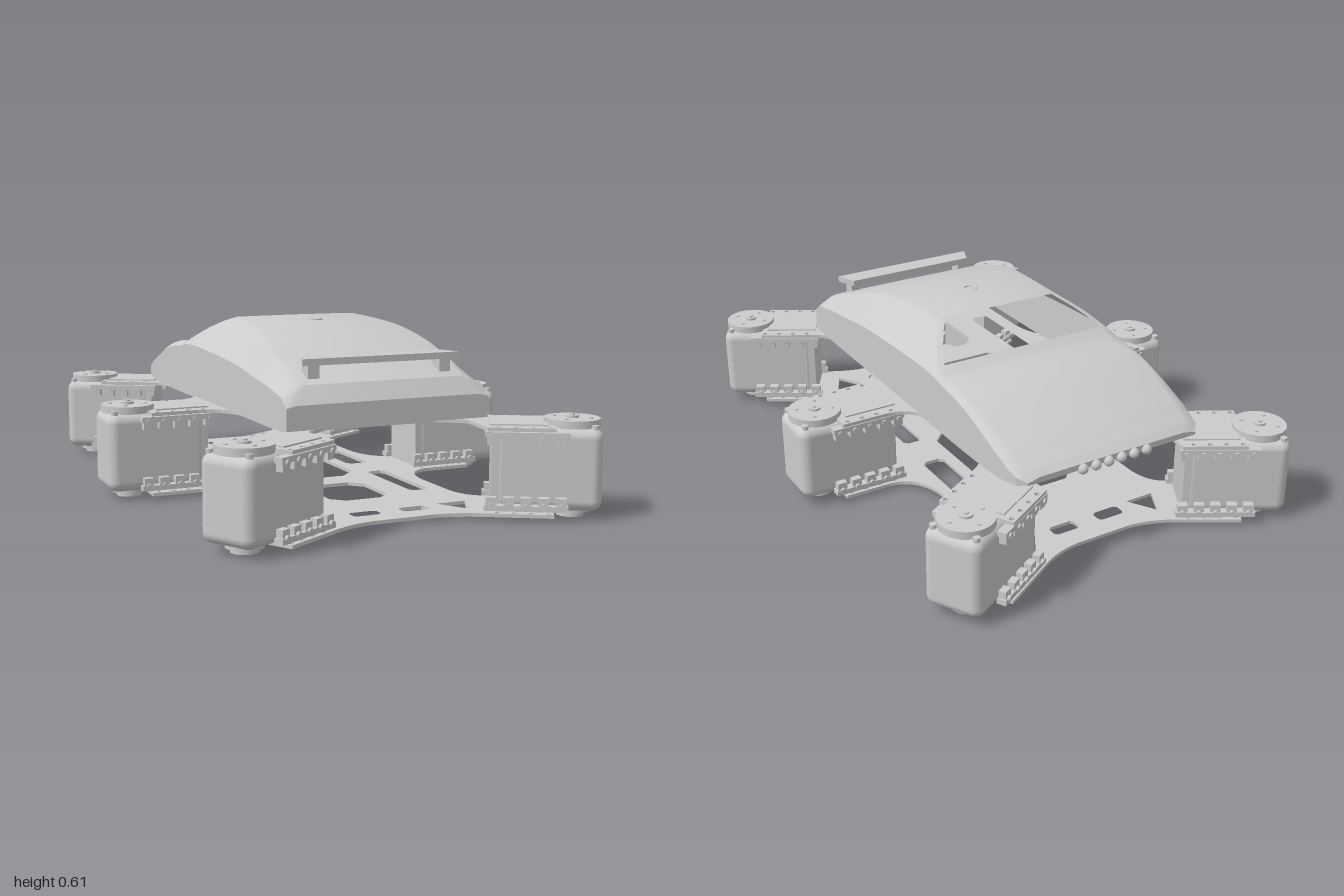
import * as THREE from 'three';
import { toCreasedNormals } from 'three/addons/utils/BufferGeometryUtils.js';
import { RoundedBoxGeometry } from 'three/addons/geometries/RoundedBoxGeometry.js';

const grey = new THREE.MeshStandardMaterial({ color: 0xcccccc });
const thin = new THREE.MeshStandardMaterial({ color: 0xcccccc, side: THREE.DoubleSide });
const V = (x, y) => new THREE.Vector2(x, y);

function add(parent, name, geo, x = 0, y = 0, z = 0, mat = grey) {
  const m = new THREE.Mesh(geo, mat);
  m.name = name;
  m.position.set(x, y, z);
  parent.add(m);
  return m;
}
const box = (w, h, d) => new THREE.BoxGeometry(w, h, d);
const disc = (r, h, n = 32) => new THREE.CylinderGeometry(r, r, h, n);

// Flat outline in x/z, extruded downwards from its position
function slab(points, holes, t) {
  const s = new THREE.Shape(points);
  s.holes = holes.map(h => new THREE.Path(h));
  return new THREE.ExtrudeGeometry(s, { depth: t, bevelEnabled: false }).rotateX(Math.PI / 2);
}

// Six leg mounts: pivot position and outward angle in the x/z plane
const legs = [0, 30, 150, 180, 210, 330].map(deg => {
  const a = deg * Math.PI / 180, c = Math.cos(a), s = Math.sin(a);
  const corner = deg % 180 !== 0;
  const x = Math.sign(c) * (corner ? 0.575 : 0.68), z = corner ? Math.sign(s) * 0.872 : 0;
  return { x, z, a, at: (u, v) => V(x + u * c - v * s, z + u * s + v * c) };
});

// Chassis plates: one quarter outline mirrored in x and z
function plateOutline(top) {
  const p = new THREE.Path();
  if (top) {
    p.moveTo(0, 0.62); p.lineTo(0.2, 0.62); p.lineTo(0.29, 0.69); p.lineTo(0.27, 0.845);
  } else {
    p.moveTo(0, 0.79); p.lineTo(0.1, 0.79); p.quadraticCurveTo(0.19, 0.795, 0.27, 0.845);
  }
  p.lineTo(0.458, 0.955);
  p.lineTo(0.588, 0.729);
  p.lineTo(0.398, 0.619);
  p.quadraticCurveTo(0.34, 0.585, 0.335, 0.5);
  p.lineTo(0.335, 0.3);
  p.quadraticCurveTo(0.345, 0.14, 0.46, 0.13);
  p.lineTo(0.63, 0.13);
  const q = p.getPoints(8);
  const half = [...q, ...[...q].reverse().map(v => V(v.x, -v.y))];
  return [...half, ...half.slice(1, -1).reverse().map(v => V(-v.x, v.y))];
}
const rect = (x0, x1, z0, z1) => {
  const c = Math.min(x1 - x0, z1 - z0) * 0.2;
  return [V(x0 + c, z0), V(x1 - c, z0), V(x1, z0 + c), V(x1, z1 - c),
    V(x1 - c, z1), V(x0 + c, z1), V(x0, z1 - c), V(x0, z0 + c)];
};
function plateHoles(top) {
  const h = [rect(-0.165, 0.165, -0.42, 0.13), rect(-0.11, 0.11, 0.24, 0.5)];
  for (const s of [-1, 1]) {
    const flip = pts => pts.map(v => V(v.x * s, v.y));
    h.push(flip(rect(0.21, 0.295, -0.33, -0.06)), flip(rect(0.21, 0.28, 0.1, 0.45)));
    if (!top) for (const k of [-1, 1]) {
      h.push([V(0.19 * s, 0.66 * k), V(0.3 * s, 0.66 * k), V(0.25 * s, 0.76 * k)]);
      h.push(flip(rect(0.04, 0.14, k * 0.69 - 0.025, k * 0.69 + 0.025)));
    }
  }
  for (const leg of legs) {
    // bolt holes along both edges of each arm
    for (const v of [-0.115, 0.115]) for (let i = 0; i < 4; i++)
      h.push(Array.from({ length: 8 }, (_, k) => leg.at(
        -0.24 + i * 0.055 + 0.009 * Math.cos(k * Math.PI / 4), v + 0.009 * Math.sin(k * Math.PI / 4))));
    // windows beneath each actuator
    if (!top) for (const v of [-0.045, 0.045])
      h.push(rect(-0.21, -0.13, v - 0.027, v + 0.027).map(p => leg.at(p.x, p.y)));
  }
  return h;
}

// Leg actuator, pointing along local +x from its pivot
function actuator(leg) {
  const g = new THREE.Group();
  g.name = 'legActuator';
  g.position.set(leg.x, 0, leg.z);
  g.rotation.y = -leg.a;
  add(g, 'actuatorBody', new RoundedBoxGeometry(0.355, 0.274, 0.2, 4, 0.035), -0.0825, 0.165, 0);
  add(g, 'actuatorInnerEnd', box(0.1, 0.27, 0.196), -0.212, 0.165, 0);
  add(g, 'topCover', box(0.19, 0.012, 0.17), -0.175, 0.306, 0);
  add(g, 'bottomCover', box(0.04, 0.012, 0.17), -0.25, 0.012, 0);
  // rotating horn with hub and screws
  add(g, 'horn', disc(0.092, 0.026), 0, 0.312, 0);
  add(g, 'hornHub', disc(0.022, 0.012, 20), 0, 0.327, 0);
  add(g, 'hornScrew', disc(0.009, 0.008, 10), 0, 0.334, 0);
  for (let i = 0; i < 4; i++) {
    const a = i * Math.PI / 2 + 0.4;
    add(g, 'hornBolt', disc(0.007, 0.006, 10), 0.062 * Math.cos(a), 0.326, 0.062 * Math.sin(a));
  }
  // bottom pivot
  add(g, 'pivotBase', disc(0.06, 0.02), 0, 0.024, 0);
  add(g, 'pivotCap', disc(0.045, 0.024), 0, 0.012, 0);
  for (const s of [-1, 1]) {
    add(g, 'caseScrew', disc(0.012, 0.014, 12), 0.068, 0.304, s * 0.074);
    // toothed clamps, upper and lower, on both sides
    for (const [y, k] of [[0.283, -1], [0.042, 1]]) {
      add(g, 'clampStrip', box(0.27, 0.018, 0.032), -0.15, y, s * 0.113);
      for (let i = 0; i < 5; i++) {
        add(g, 'clampTooth', box(0.034, 0.03, 0.026), -0.262 + i * 0.056, y + k * 0.02, s * 0.112);
        add(g, 'clampNut', disc(0.01, 0.012, 6).rotateX(Math.PI / 2), -0.262 + i * 0.056, y + k * 0.008, s * 0.129);
      }
    }
  }
  return g;
}

// Body shell stations: z, bottom y, half width, crease y, shoulder half width, roof y
const stations = [
  [0.69, 0.312, 0.365, 0.385, 0.355, 0.392], [0.65, 0.305, 0.367, 0.415, 0.315, 0.45],
  [0.55, 0.305, 0.367, 0.435, 0.31, 0.492], [0.4, 0.305, 0.367, 0.455, 0.3, 0.547],
  [0.25, 0.305, 0.367, 0.475, 0.275, 0.588], [0.08, 0.303, 0.367, 0.487, 0.255, 0.606],
  [-0.11, 0.302, 0.367, 0.495, 0.25, 0.607], [-0.2, 0.302, 0.367, 0.497, 0.3, 0.57],
  [-0.29, 0.302, 0.367, 0.495, 0.345, 0.522], [-0.35, 0.302, 0.367, 0.483, 0.348, 0.497],
  [-0.47, 0.303, 0.367, 0.468, 0.35, 0.49], [-0.6, 0.306, 0.367, 0.43, 0.35, 0.452],
  [-0.72, 0.313, 0.365, 0.385, 0.345, 0.405], [-0.8, 0.323, 0.355, 0.352, 0.335, 0.368],
  [-0.83, 0.33, 0.33, 0.34, 0.31, 0.35]];

function shellGeometry() {
  const n = stations.length, rows = [], steps = 3, pos = [];
  for (let j = 0; j < n; j++) for (let k = 0; k < (j < n - 1 ? steps : 1); k++) {
    const st = i => stations[Math.min(Math.max(i, 0), n - 1)], t = k / steps;
    // the nose edges stay straight, the rest follows a smooth curve
    const [z, yb, w, yc, ws, yt] = st(j).map((p, c) => {
      const a = st(j - 1)[c], q = st(j + 1)[c], b = st(j + 2)[c];
      if (j === 0 || j === n - 2 || c === 0) return p + (q - p) * t;
      const m0 = j === 1 ? q - p : (q - a) / 2, m1 = (b - p) / 2;
      return p + t * (m0 + t * (3 * (q - p) - 2 * m0 - m1 + t * (2 * (p - q) + m0 + m1)));
    });
    const side = [[w, yb], [w, yc], [ws, yt - 0.006], [ws - 0.025, yt]];
    const pts = [...side, [0, yt + 0.001], ...[...side].reverse().map(([x, y]) => [-x, y])];
    rows.push(pts.map(([x, y]) => [x, y, z]));
  }
  const tri = (...v) => v.forEach(p => pos.push(...p));
  for (let j = 0; j < rows.length - 1; j++) for (let i = 0; i < 8; i++) {
    // leave the rear window open
    if (j >= 6 * steps && j < 8 * steps && (i === 3 || i === 4)) continue;
    const a = rows[j][i], b = rows[j][i + 1], c = rows[j + 1][i], d = rows[j + 1][i + 1];
    tri(a, c, b);
    tri(b, c, d);
  }
  const f = rows[0], r = rows[rows.length - 1];
  for (let i = 1; i < 8; i++) {
    tri(f[0], f[i], f[i + 1]);
    tri(r[0], r[i + 1], r[i]);
  }
  const geo = new THREE.BufferGeometry();
  geo.setAttribute('position', new THREE.Float32BufferAttribute(pos, 3));
  return toCreasedNormals(geo, 0.5);
}

export function createModel() {
  const model = new THREE.Group();
  model.name = 'hexapodBody';
  add(model, 'bottomPlate', slab(plateOutline(false), plateHoles(false), 0.012), 0, 0.025, 0);
  add(model, 'topPlate', slab(plateOutline(true), plateHoles(true), 0.012), 0, 0.307, 0);
  for (const leg of legs) model.add(actuator(leg));
  add(model, 'bodyShell', shellGeometry(), 0, 0, 0, thin);
  // roof port
  add(model, 'roofPort', new THREE.TorusGeometry(0.024, 0.005, 8, 28).rotateX(Math.PI / 2), 0, 0.606, 0.09);
  // raised bar across the nose
  add(model, 'noseBar', slab([V(-0.255, 0.555), V(0.255, 0.555), V(0.285, 0.632), V(-0.285, 0.632)], [], 0.022), 0, 0.53, 0);
  for (const s of [-1, 1]) add(model, 'noseBarFoot', box(0.04, 0.06, 0.05), s * 0.24, 0.483, 0.592);
  // row of round lamps under the tail
  for (let i = 0; i < 6; i++)
    add(model, 'tailLamp', new THREE.SphereGeometry(0.018, 16, 12), -0.125 + i * 0.05, 0.333, -0.832);
  return model;
}
